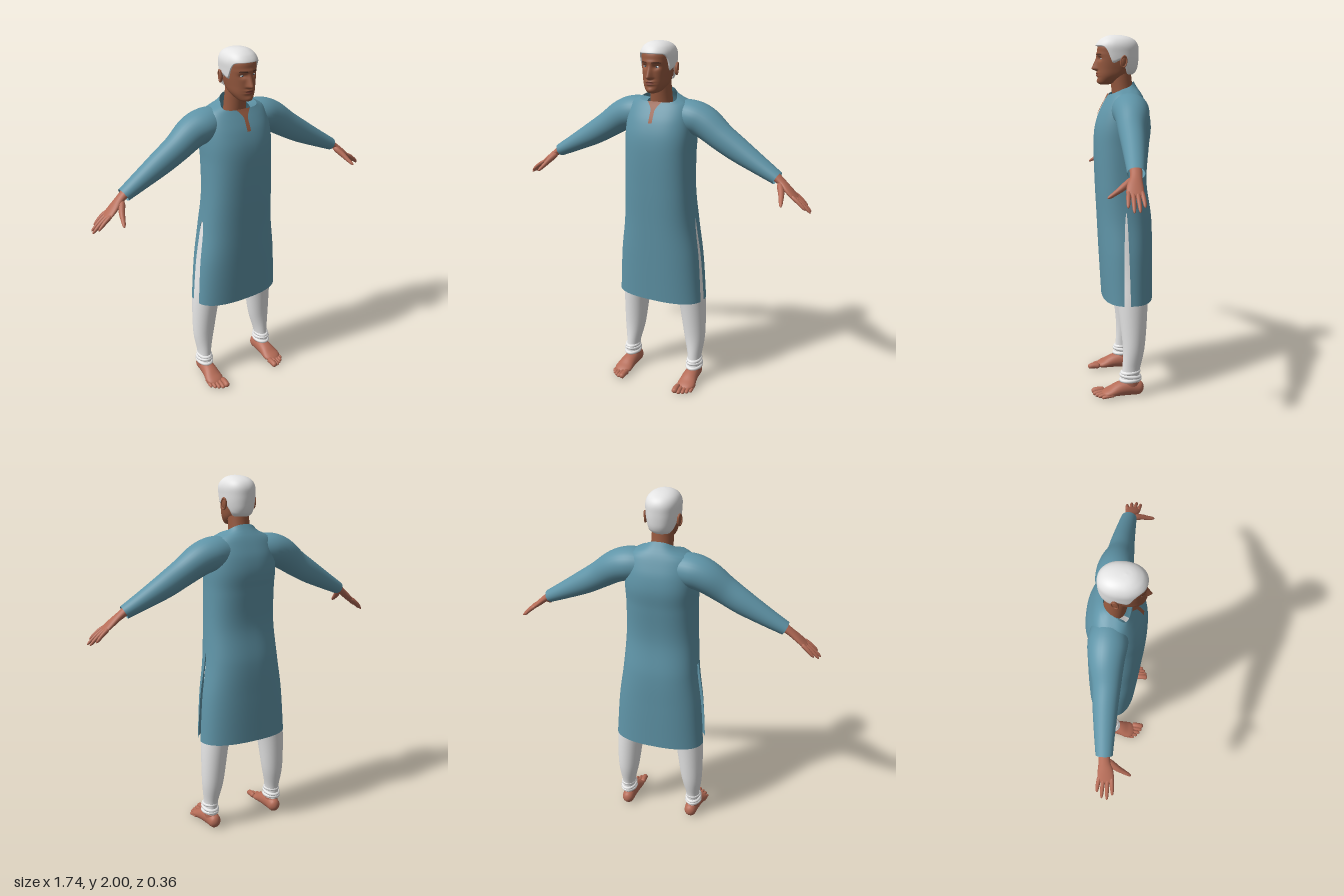
import * as THREE from 'three';
import { mergeVertices } from 'three/addons/utils/BufferGeometryUtils.js';

const mat = (name, color, side = THREE.FrontSide) => {
  const m = new THREE.MeshStandardMaterial({ color, side });
  m.name = name;
  return m;
};
const { PI, sin, cos, abs, sign, min, max } = Math;
const clamp = (v) => min(1, max(0, v));
const bell = (d, s) => Math.exp(-((d / s) ** 2));

// Smooth interpolation of rows whose first column is the key
function sample(rows, k) {
  let i = 0;
  while (i < rows.length - 2 && k > rows[i + 1][0]) i++;
  const a = rows[i], b = rows[i + 1], h = b[0] - a[0], t = clamp((k - a[0]) / h);
  const p = rows[max(0, i - 1)], n = rows[min(rows.length - 1, i + 2)];
  return a.map((v, c) => {
    const ma = (b[c] - p[c]) / (b[0] - p[0]) * h, mb = (n[c] - v) / (n[0] - a[0]) * h;
    return (2 * t ** 3 - 3 * t ** 2 + 1) * v + (t ** 3 - 2 * t ** 2 + t) * ma
      + (3 * t ** 2 - 2 * t ** 3) * b[c] + (t ** 3 - t ** 2) * mb;
  });
}

// Smooth surface from fn(u, v); coincident seam points are welded
function patch(fn, n, m) {
  const pos = [], idx = [];
  for (let j = 0; j <= m; j++) for (let i = 0; i <= n; i++) pos.push(...fn(i / n, j / m));
  for (let j = 0; j < m; j++) for (let i = 0; i < n; i++) {
    const a = j * (n + 1) + i, c = a + n + 1;
    idx.push(a, c, a + 1, a + 1, c, c + 1);
  }
  const g = new THREE.BufferGeometry();
  g.setAttribute('position', new THREE.Float32BufferAttribute(pos, 3));
  g.setIndex(idx);
  const w = mergeVertices(g, 1e-5);
  w.computeVertexNormals();
  return w;
}

// Upright body from rows [y, half width, front z, back z]
const body = (rows, e) => (th, y) => {
  const [, hw, zf, zb] = sample(rows, y);
  const pw = (v) => sign(v) * abs(v) ** (2 / e);
  return [hw * pw(cos(th)), y, (zf + zb) / 2 + (zf - zb) / 2 * pw(sin(th))];
};
// Point on the front of a body at a given x and y
const frontAt = (surf, e, x, y) =>
  surf(Math.acos(sign(x) * min(1, abs(x) / surf(0, y)[0]) ** (e / 2)), y);

// Limb along rows [x, y, z, radius along ref, radius across it]
function limb(pts, ref, round = false, n = 20, m = 24) {
  const rows = pts.map((p, i) => [i, ...p]), end = rows.length - 1;
  const at = (t) => new THREE.Vector3(...sample(rows, t * end).slice(1, 4));
  return patch((u, v0) => {
    const v = round ? (1 - cos(PI * v0)) / 2 : v0;
    const T = at(min(1, v + 0.01)).sub(at(max(0, v - 0.01))).normalize();
    const S = ref.clone().addScaledVector(T, -ref.dot(T)).normalize();
    const N = S.clone().cross(T), [, , , , ra, rb] = sample(rows, v * end);
    const w = round ? Math.sqrt(max(0, 1 - (1 - min(1, min(v, 1 - v) / 0.18)) ** 2)) : 1;
    return at(v).addScaledVector(S, ra * w * cos(u * 2 * PI))
      .addScaledVector(N, rb * w * sin(u * 2 * PI)).toArray();
  }, n, m);
}

export function createModel() {
  const model = new THREE.Group();
  const cloth = mat('blue cloth', 0x5f94a7, THREE.DoubleSide);
  const white = mat('white cotton', 0xe6e6e6, THREE.DoubleSide);
  const hairMat = mat('white hair', 0xe4e4e4, THREE.DoubleSide);
  const skin = mat('skin', 0xb56c57), faceSkin = mat('face skin', 0x96593f);
  const lipMat = mat('lip', 0x7d4034), browMat = mat('brow', 0x593628);
  const eyeMat = mat('eye white', 0xdadde0), irisMat = mat('iris', 0x4a5660);
  const add = (name, geo, m, parent = model) => {
    const mesh = new THREE.Mesh(geo, m);
    mesh.name = name;
    parent.add(mesh);
    return mesh;
  };
  const X = new THREE.Vector3(1, 0, 0), Z = new THREE.Vector3(0, 0, 1);

  // Long tunic: one closed surface above, parted by a slit at each side below
  const tunic = body([
    [0.54, 0.264, 0.105, -0.18], [0.8, 0.244, 0.12, -0.18], [1, 0.216, 0.13, -0.175],
    [1.2, 0.201, 0.14, -0.148], [1.4, 0.196, 0.145, -0.16], [1.5, 0.198, 0.138, -0.17],
    [1.58, 0.194, 0.115, -0.16], [1.64, 0.184, 0.085, -0.138], [1.68, 0.16, 0.062, -0.12],
    [1.7, 0.115, 0.056, -0.108], [1.72, 0.082, 0.05, -0.094], [1.755, 0.068, 0.045, -0.074]], 2.5);
  add('tunic', patch((u, v) => {
    const a = u * 2 * PI, y = 0.54 + v * (1.715 - 0.034 * sin(a) - 0.54);
    const gap = 0.18 * clamp((1.05 - y) / 0.5) ** 0.6;
    return tunic(a <= PI + 1e-6 ? gap + a / PI * (PI - 2 * gap) : a, y);
  }, 80, 70).clone(), cloth);
  // Open the two slits by dropping the strips that bridge them
  const tunicGeo = model.children[0].geometry, p = tunicGeo.attributes.position;
  const ix = tunicGeo.index.array, kept = [];
  for (let i = 0; i < ix.length; i += 3) {
    const t = [ix[i], ix[i + 1], ix[i + 2]];
    const low = t.every((k) => p.getY(k) < 1.05), zs = t.map((k) => p.getZ(k));
    const mid = tunic(0, p.getY(t[0]))[2];
    const bridge = low && max(...zs) > mid + 0.004 && min(...zs) < mid + 0.001;
    if (!bridge) kept.push(...t);
  }
  tunicGeo.setIndex(kept);

  // Open neck showing skin
  add('neckOpening', patch((u, v) => {
    const w = 0.011 + 0.032 * clamp((v - 0.6) / 0.4) ** 1.3;
    const q = frontAt(tunic, 2.5, w * (1 - 2 * u), 1.575 + 0.108 * v);
    return [q[0], q[1] + 0.002, q[2] + 0.005];
  }, 8, 14), faceSkin);

  // Neck and head, with the features pushed out of the face
  add('neck', patch((u, v) => body([
    [1.62, 0.066, 0.035, -0.08], [1.7, 0.06, 0.044, -0.075], [1.76, 0.058, 0.052, -0.066],
    [1.83, 0.056, 0.065, -0.06]], 2)(u * 2 * PI, 1.62 + 0.21 * v), 32, 10), faceSkin);
  const skull = body([
    [1.733, 0.012, 0.098, 0.07], [1.738, 0.03, 0.112, 0.045], [1.75, 0.044, 0.118, 0.01],
    [1.78, 0.062, 0.121, -0.04], [1.82, 0.071, 0.122, -0.075], [1.86, 0.077, 0.122, -0.088],
    [1.9, 0.079, 0.123, -0.091], [1.94, 0.078, 0.118, -0.088], [1.97, 0.055, 0.09, -0.06],
    [1.98, 0.005, 0.03, 0.02]], 2.3);
  const head = (th, y) => {
    const [x, , z] = skull(th, y);
    if (sin(th) <= 0) return [x, y, z];
    const t = y > 1.818 ? clamp((1.892 - y) / 0.07) : bell(y - 1.818, 0.009);
    const d = 0.032 * t * bell(x, 0.009 + 0.006 * t)
      - 0.012 * bell(abs(x) - 0.033, 0.016) * bell(y - 1.872, 0.012)
      + 0.005 * bell(y - 1.896, 0.011) * bell(x, 0.055)
      + 0.008 * bell(x, 0.024) * (bell(y - 1.796, 0.006) + bell(y - 1.782, 0.006))
      + 0.008 * bell(x, 0.024) * bell(y - 1.75, 0.014);
    return [x, y, z + d];
  };
  add('head', patch((u, v) => head(u * 2 * PI, 1.733 + 0.247 * v), 96, 72), faceSkin);
  const decal = (name, m, outline) => add(name, patch((u, v) => {
    const [x, y] = outline(u, v), q = frontAt(head, 2.3, x, y);
    return [q[0], q[1], q[2] + 0.002];
  }, 14, 6), m);
  decal('lips', lipMat, (u, v) => [0.026 * (1 - 2 * u), 1.789 + (v - 0.5) * 0.02 * sin(PI * u)]);

  // Eyes, brows and ears
  for (const s of [1, -1]) {
    const q = frontAt(head, 2.3, s * 0.033, 1.872);
    const eye = add('eye', new THREE.SphereGeometry(0.01, 20, 14), eyeMat);
    eye.scale.set(1.3, 0.55, 0.6);
    eye.position.set(q[0], q[1], q[2] - 0.002);
    const iris = add('iris', new THREE.SphereGeometry(0.0048, 14, 10), irisMat);
    iris.scale.z = 0.4;
    iris.position.set(q[0], q[1], q[2] + 0.003);
    decal('brow', browMat, (u, v) => [s * 0.034 + 0.02 * (1 - 2 * u),
      1.893 + 0.003 * sin(PI * u) + (v - 0.5) * 0.007]);
    const ear = new THREE.Group();
    ear.name = 'ear';
    add('earBody', new THREE.SphereGeometry(1, 20, 16), faceSkin, ear).scale.set(0.009, 0.031, 0.018);
    const rim = add('earRim', new THREE.TorusGeometry(0.024, 0.005, 10, 24), faceSkin, ear);
    rim.rotation.y = PI / 2;
    rim.scale.set(0.7, 1.2, 1);
    rim.position.x = s * 0.006;
    ear.position.set(s * 0.088, 1.855, -0.012);
    ear.rotation.set(-0.15, s * 0.25, 0);
    model.add(ear);
  }

  // Short hair: high on the forehead, sideburns, low at the nape
  const hairForm = body([
    [1.78, 0.07, 0.132, -0.074], [1.82, 0.08, 0.133, -0.095], [1.86, 0.087, 0.133, -0.102],
    [1.9, 0.09, 0.133, -0.104], [1.94, 0.09, 0.132, -0.102], [1.97, 0.077, 0.112, -0.084],
    [1.988, 0.055, 0.085, -0.052], [1.997, 0.028, 0.058, -0.012], [2, 0, 0.03, 0.03]], 2.2);
  const hairline = [[-1, 1.787], [-0.6, 1.793], [-0.35, 1.83], [-0.1, 1.862], [0.1, 1.85],
    [0.26, 1.852], [0.42, 1.9], [0.6, 1.93], [1, 1.938]];
  add('hair', patch((u, v) => {
    const th = u * 2 * PI, lo = sample(hairline, sin(th))[1];
    const r = v === 0 ? 0.88 : 1;
    const q = hairForm(th, lo + (2 - lo) * sin(v * PI / 2));
    return [q[0] * r, q[1], 0.015 + (q[2] - 0.015) * r];
  }, 72, 28), hairMat);

  for (const s of [1, -1]) {
    const flip = (rows) => rows.map(([x, ...r]) => [s * x, ...r]);
    // Sleeve
    add('sleeve', limb(flip([
      [0.08, 1.6, -0.04, 0.085, 0.085], [0.17, 1.6, -0.04, 0.099, 0.091],
      [0.25, 1.575, -0.04, 0.091, 0.087], [0.35, 1.51, -0.03, 0.073, 0.075],
      [0.45, 1.45, -0.027, 0.064, 0.066], [0.57, 1.385, -0.02, 0.053, 0.05],
      [0.675, 1.33, -0.012, 0.043, 0.036]]), Z, false, 32, 36), cloth);
    // Hand, fingers and thumb
    add('palm', limb(flip([
      [0.62, 1.37, -0.012, 0.034, 0.027], [0.67, 1.335, -0.012, 0.03, 0.023],
      [0.705, 1.31, -0.008, 0.03, 0.019], [0.74, 1.281, 0, 0.039, 0.017],
      [0.775, 1.252, 0.004, 0.042, 0.013], [0.797, 1.235, 0.004, 0.04, 0.011]]), Z, true), skin);
    [[0.848, 1.197, 0.044], [0.87, 1.177, 0.018], [0.864, 1.178, -0.01], [0.838, 1.195, -0.036]]
      .forEach(([x, y, z], i) => add('finger', limb(flip([
        [0.765, 1.26, 0.033 - i * 0.02, 0.011, 0.011],
        [(0.765 + x) / 2, (1.26 + y) / 2 + 0.004, (0.034 - i * 0.021 + z) / 2, 0.0105, 0.0105],
        [x, y, z, 0.007, 0.007]]), Z, true, 12, 14), skin));
    add('thumb', limb(flip([
      [0.69, 1.312, 0, 0.018, 0.018], [0.718, 1.275, 0.05, 0.017, 0.016],
      [0.732, 1.248, 0.09, 0.012, 0.012], [0.745, 1.224, 0.13, 0.008, 0.008]]), Z, true, 14, 18), skin);
    // Trouser leg with gathered ankle
    add('trouserLeg', limb(flip([
      [0.1, 1.1, -0.02, 0.08, 0.095], [0.115, 0.92, -0.028, 0.098, 0.11],
      [0.147, 0.7, -0.045, 0.094, 0.1], [0.18, 0.54, -0.055, 0.08, 0.085],
      [0.2, 0.3, -0.06, 0.063, 0.063], [0.208, 0.16, -0.045, 0.04, 0.05],
      [0.21, 0.09, -0.04, 0.044, 0.056]]), X, false, 32, 44), white);
    [[0.142, 0.034, 0.1], [0.12, 0.038, -0.12], [0.098, 0.039, 0.06]].forEach(([y, r, tilt]) => {
      const fold = add('ankleFold', new THREE.TorusGeometry(r, 0.011, 10, 28), white);
      fold.rotation.set(PI / 2 + tilt, 0, 0);
      fold.scale.set(1, 1.3, 1);
      fold.position.set(s * 0.21, y, -0.04);
    });
    // Bare foot
    add('ankle', limb(flip([
      [0.209, 0.15, -0.045, 0.034, 0.042], [0.208, 0.09, -0.045, 0.036, 0.046],
      [0.206, 0.04, -0.045, 0.036, 0.05]]), X), skin);
    add('foot', limb(flip([
      [0.2, 0.036, -0.117, 0.03, 0.034], [0.203, 0.042, -0.085, 0.036, 0.041],
      [0.205, 0.048, -0.04, 0.04, 0.047], [0.208, 0.042, 0.02, 0.046, 0.041],
      [0.212, 0.027, 0.075, 0.053, 0.026], [0.212, 0.019, 0.125, 0.05, 0.017]]), X, true, 24, 28), skin);
    [[0.176, 0.178, 0.017], [0.2, 0.172, 0.012], [0.221, 0.16, 0.011], [0.24, 0.145, 0.011],
      [0.256, 0.124, 0.01]].forEach(([x, z, r]) => add('toe', limb(flip([
      [x - 0.002, 0.022, z - 0.075, r, r], [x, r + 0.007, z - 0.035, r, r],
      [x + 0.002, r, z, r, r * 0.9]]), X, true, 12, 14), skin));
  }
  return model;
}
